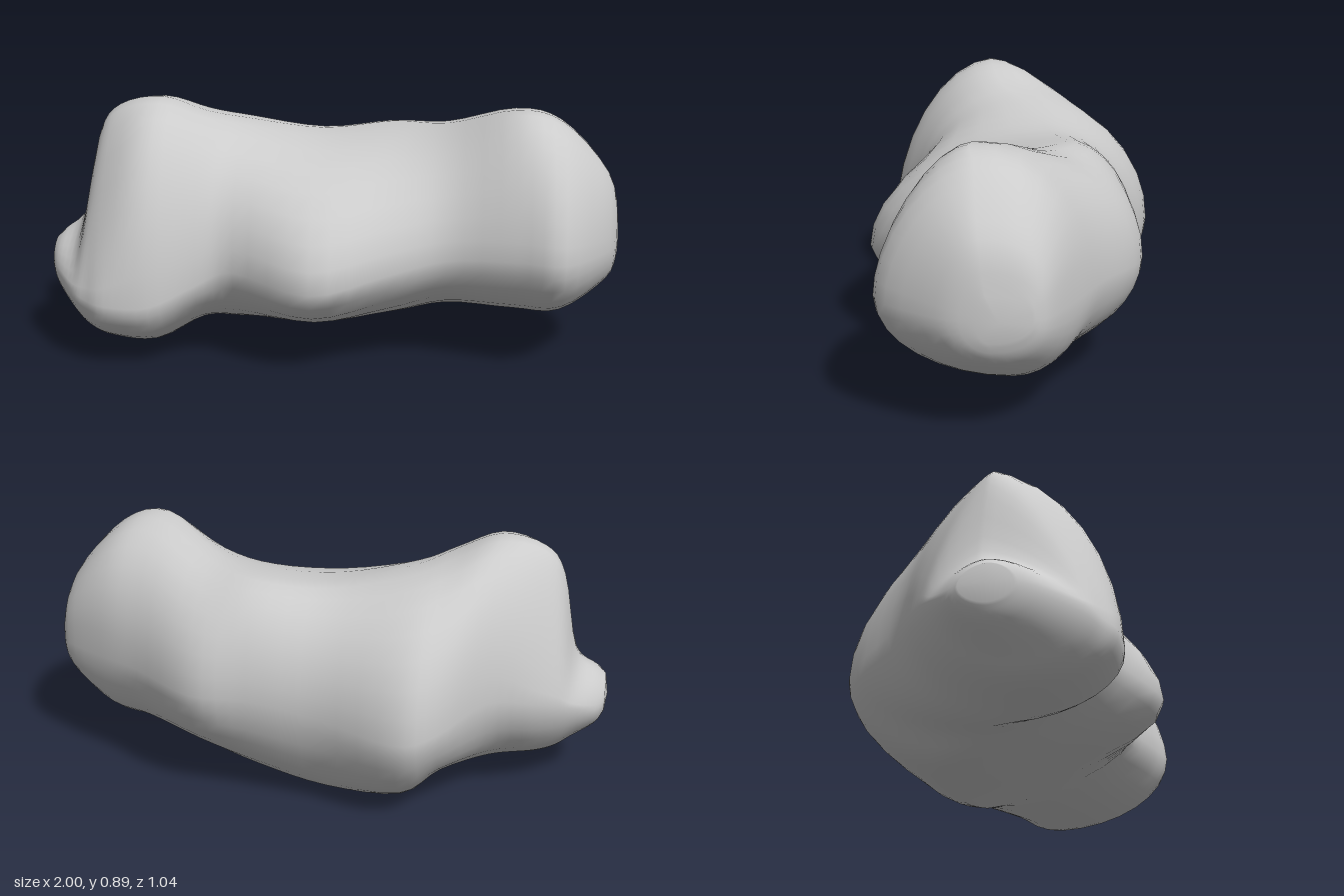
import * as THREE from 'three';

// Stations along the boulder: x, then its extreme points
// top (y, z), front (z, y), bottom (y, z), back (z, y)
const STATIONS = [
  [-0.99, 0.38, 0.09, 0.17, 0.31, 0.25, 0.09, 0.0, 0.31],
  [-0.96, 0.41, 0.08, 0.24, 0.3, 0.2, 0.1, -0.045, 0.3],
  [-0.88, 0.49, 0.05, 0.36, 0.27, 0.13, 0.14, -0.115, 0.33],
  [-0.825, 0.76, 0.06, 0.405, 0.25, 0.085, 0.15, -0.155, 0.35],
  [-0.75, 0.86, 0.06, 0.445, 0.24, 0.06, 0.15, -0.2, 0.37],
  [-0.6, 0.89, 0.06, 0.445, 0.24, 0.047, 0.14, -0.29, 0.4],
  [-0.45, 0.835, 0.03, 0.385, 0.3, 0.08, -0.05, -0.47, 0.35],
  [-0.32, 0.795, -0.05, 0.38, 0.35, 0.02, -0.2, -0.525, 0.33],
  [-0.05, 0.745, -0.13, 0.515, 0.32, 0.005, -0.2, -0.44, 0.36],
  [0.2, 0.765, -0.17, 0.41, 0.36, 0.06, -0.18, -0.425, 0.4],
  [0.4, 0.79, -0.03, 0.355, 0.4, 0.125, -0.14, -0.42, 0.4],
  [0.63, 0.875, 0.14, 0.415, 0.42, 0.145, -0.03, -0.28, 0.42],
  [0.79, 0.835, 0.14, 0.445, 0.42, 0.16, 0.02, -0.19, 0.42],
  [0.95, 0.66, 0.13, 0.26, 0.42, 0.27, 0.08, -0.09, 0.42],
  [0.99, 0.5, 0.11, 0.14, 0.42, 0.35, 0.1, -0.03, 0.42],
];
const STEPS = 4;
const SIDES = 32;

// Catmull-Rom blend of all station values
function stationAt(t) {
  const last = STATIONS.length - 1;
  const i = Math.min(Math.floor(t), last - 1);
  const f = t - i;
  const at = (k) => STATIONS[Math.max(0, Math.min(last, k))];
  return STATIONS[i].map((b, c) => {
    const a = at(i - 1)[c], d = at(i + 1)[c], e = at(i + 2)[c];
    const m0 = (d - a) / 2, m1 = (e - b) / 2;
    return b + f * (m0 + f * (3 * (d - b) - 2 * m0 - m1 + f * (2 * (b - d) + m0 + m1)));
  });
}

const near = (x, centre, width) => Math.exp(-(((x - centre) / width) ** 2));

// One closed ring: four curved quarters joining top, front, bottom and back
function ringAt(t) {
  const [x, yt, zt, zf, yf, yb, zb, zk, yk] = stationAt(t);
  const corners = [[zt, yt], [zf, yf], [zb, yb], [zk, yk]];
  const shoulder = 0.5 * near(x, -0.82, 0.12); // narrow upper lobe at the left end
  const belly = near(x, -0.05, 0.3); // nose over an undercut at the front
  const flank = 0.25 * near(x, 0.95, 0.2); // boxy back edge at the right end
  const lobe = 0.15 * near(x, 0.7, 0.25);
  // roundness of each quarter in z and y: 1 is an ellipse, more is leaner
  const roundness = [
    [1.05 + shoulder + lobe, 1.05 + shoulder + lobe],
    [1.03 + belly, 1.03],
    [1.1 - flank, 1.1 - flank],
    [1.02 + shoulder - flank, 1.02 + shoulder - flank],
  ];
  const ring = [];
  for (let j = 0; j < SIDES; j++) {
    const q = Math.floor((j * 4) / SIDES);
    const u = ((j * 4) / SIDES - q) * Math.PI / 2;
    const s = Math.sin(u), c = Math.cos(u);
    const [ez, ey] = roundness[q];
    const p = corners[q], n = corners[(q + 1) % 4];
    // a quarter leaves top and bottom level, front and back upright
    const kz = q % 2 === 0 ? s ** ez : 1 - c ** ez;
    const ky = q % 2 === 0 ? 1 - c ** ey : s ** ey;
    ring.push(x, p[1] + (n[1] - p[1]) * ky, p[0] + (n[0] - p[0]) * kz);
  }
  return ring;
}

function boulderGeometry() {
  const positions = [], index = [];
  const rings = (STATIONS.length - 1) * STEPS + 1;
  for (let r = 0; r < rings; r++) positions.push(...ringAt(r / STEPS));
  // end poles
  const left = rings * SIDES, right = left + 1;
  positions.push(-1, 0.31, 0.09, 1, 0.42, 0.07);
  for (let j = 0; j < SIDES; j++) {
    const k = (j + 1) % SIDES;
    for (let r = 0; r < rings - 1; r++) {
      const a = r * SIDES + j, b = r * SIDES + k;
      index.push(a, b, a + SIDES, b, b + SIDES, a + SIDES);
    }
    const end = (rings - 1) * SIDES;
    index.push(left, k, j, right, end + j, end + k);
  }
  const geometry = new THREE.BufferGeometry();
  geometry.setAttribute('position', new THREE.Float32BufferAttribute(positions, 3));
  geometry.setIndex(index);
  geometry.computeVertexNormals();
  return geometry;
}

export function createModel() {
  const model = new THREE.Group();
  model.name = 'rock';
  const boulder = new THREE.Mesh(
    boulderGeometry(),
    new THREE.MeshStandardMaterial({ color: 0xcccccc })
  );
  boulder.name = 'boulder';
  model.add(boulder);
  return model;
}
